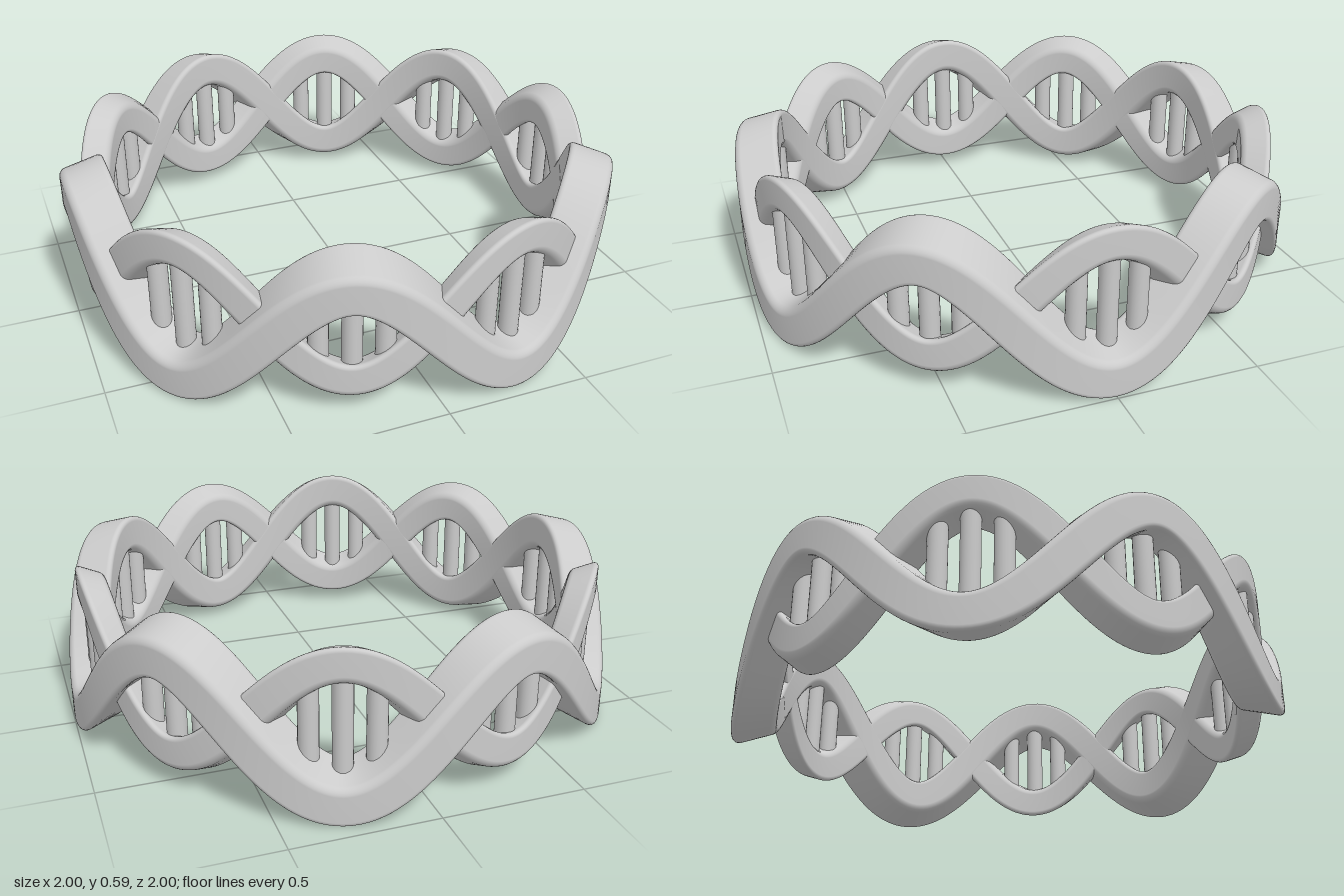
import * as THREE from 'three';

const WAVES = 5;
const PHASE = Math.PI / 10;
const material = new THREE.MeshStandardMaterial({ color: 0xcccccc, side: THREE.DoubleSide });

// Rounded rectangle, sheared so its outer edge sits higher or lower than its inner edge
function section(width, height, shear, bevel) {
  const points = [];
  const corners = [[1, 1], [-1, 1], [-1, -1], [1, -1]];
  corners.forEach(([sx, sy], c) => {
    for (let i = 0; i <= 5; i++) {
      const a = (c + i / 5) * Math.PI / 2;
      const u = sx * (width / 2 - bevel) + bevel * Math.cos(a);
      const v = sy * (height / 2 - bevel) + bevel * Math.sin(a);
      points.push([u, v + shear * u / width]);
    }
  });
  return points;
}

// Sweep a section along a wave that runs round the ring, keeping its thickness square to the wave
function strand(name, { radius, mid, amplitude, sign, profile }) {
  const steps = 360, n = profile.length;
  const positions = [], index = [];
  for (let i = 0; i < steps; i++) {
    const t = i / steps * Math.PI * 2;
    const wave = WAVES * (t + PHASE);
    const y = mid + sign * amplitude * Math.cos(wave);
    const slope = -sign * amplitude * WAVES * Math.sin(wave) / radius;
    const len = Math.hypot(1, slope);
    for (const [u, v] of profile) {
      const a = t - v * slope / len / radius;
      const r = radius + u;
      positions.push(r * Math.sin(a), y + v / len, r * Math.cos(a));
    }
    for (let j = 0; j < n; j++) {
      const k = (j + 1) % n, next = (i + 1) % steps;
      const a = i * n + j, b = i * n + k, c = next * n + k, d = next * n + j;
      index.push(a, d, b, b, d, c);
    }
  }
  const geometry = new THREE.BufferGeometry();
  geometry.setAttribute('position', new THREE.Float32BufferAttribute(positions, 3));
  geometry.setIndex(index);
  geometry.computeVertexNormals();
  const mesh = new THREE.Mesh(geometry, material);
  mesh.name = name;
  return mesh;
}

export function createModel() {
  const group = new THREE.Group();
  group.name = 'doubleHelixRing';

  // Wide strand, leaning down towards the outside
  group.add(strand('wideStrand', {
    radius: 0.922, mid: 0.296, amplitude: 0.208, sign: 1,
    profile: section(0.156, 0.135, -0.045, 0.022),
  }));

  // Narrow strand, half a wave out of step and leaning the other way
  group.add(strand('narrowStrand', {
    radius: 0.896, mid: 0.316, amplitude: 0.193, sign: -1,
    profile: section(0.102, 0.118, 0.04, 0.02),
  }));

  // Three upright rungs in each opening between the strands
  const rungs = new THREE.Group();
  rungs.name = 'rungs';
  for (let k = 0; k < WAVES * 2; k++) {
    for (let j = -1; j <= 1; j++) {
      const offset = j * 0.118;
      const a = PHASE + k * Math.PI / WAVES + offset;
      const height = 0.39 * Math.cos(WAVES * offset);
      const rung = new THREE.Mesh(new THREE.CylinderGeometry(0.034, 0.034, height, 20), material);
      rung.position.set(0.895 * Math.sin(a), 0.306, 0.895 * Math.cos(a));
      rung.name = 'rung';
      rungs.add(rung);
    }
  }
  group.add(rungs);
  return group;
}
